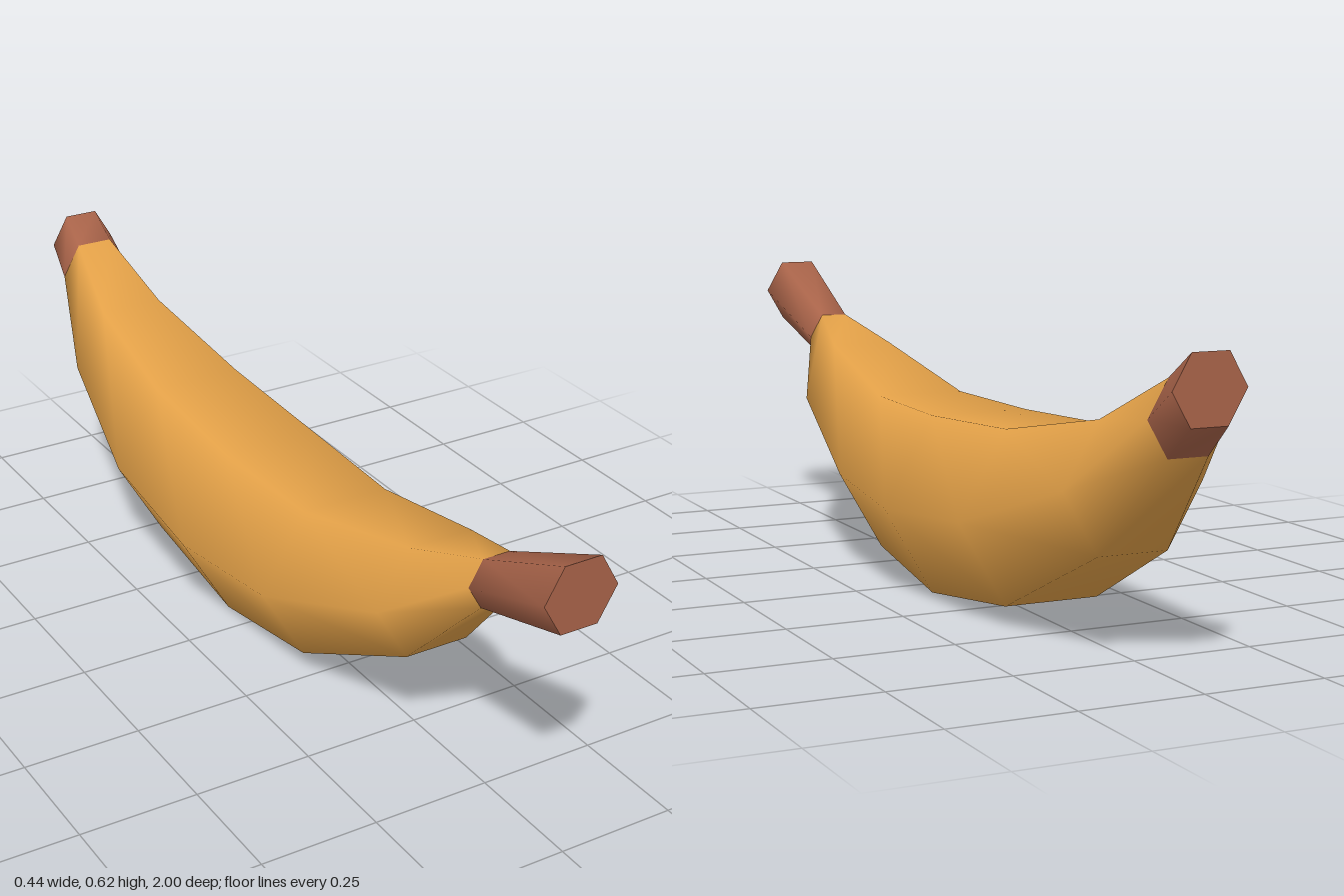
import * as THREE from 'three';

const SIDES = 6;

// Smooth hexagonal tube through rings [z, centre y, radius], listed front to back
function loft(rings) {
  const positions = [], index = [];
  rings.forEach(([z, y, r], i) => {
    for (let j = 0; j < SIDES; j++) {
      const a = (j / SIDES) * Math.PI * 2;
      positions.push(Math.cos(a) * r, y + Math.sin(a) * r, z);
      if (i === rings.length - 1) continue;
      const k = (j + 1) % SIDES;
      const p = i * SIDES + j, q = i * SIDES + k;
      index.push(p, p + SIDES, q, q, p + SIDES, q + SIDES);
    }
  });
  const geometry = new THREE.BufferGeometry();
  geometry.setAttribute('position', new THREE.Float32BufferAttribute(positions, 3));
  geometry.setIndex(index);
  geometry.computeVertexNormals();
  return geometry;
}

export function createModel() {
  const model = new THREE.Group();
  model.name = 'banana';
  const skin = new THREE.MeshStandardMaterial({ color: 0xe6a349 });
  skin.name = 'golden skin';
  const brown = new THREE.MeshStandardMaterial({ color: 0xa86349 });
  brown.name = 'brown stem';

  const add = (name, geometry, material) => {
    const mesh = new THREE.Mesh(geometry, material);
    mesh.name = name;
    model.add(mesh);
    return mesh;
  };

  // Curved body, from the stem to the tip
  const body = [
    [0.75, 0.459, 0.06],
    [0.57, 0.336, 0.141],
    [0.225, 0.212, 0.195],
    [-0.08, 0.19, 0.218],
    [-0.415, 0.219, 0.204],
    [-0.74, 0.329, 0.147],
    [-0.93, 0.481, 0.083],
  ];
  const stemEnd = [1, 0.554, 0.08];
  const tipEnd = [-1, 0.538, 0.076];
  add('peel', loft(body), skin);

  // Brown ends
  add('stem', loft([stemEnd, body[0]]), brown);
  add('tip', loft([body[body.length - 1], tipEnd]), brown);

  // Flat cut faces
  for (const [name, [z, y, r]] of [['stemCap', stemEnd], ['tipCap', tipEnd]]) {
    const cap = add(name, new THREE.CircleGeometry(r, SIDES), brown);
    cap.position.set(0, y, z);
    if (z < 0) cap.rotation.y = Math.PI;
  }
  return model;
}
